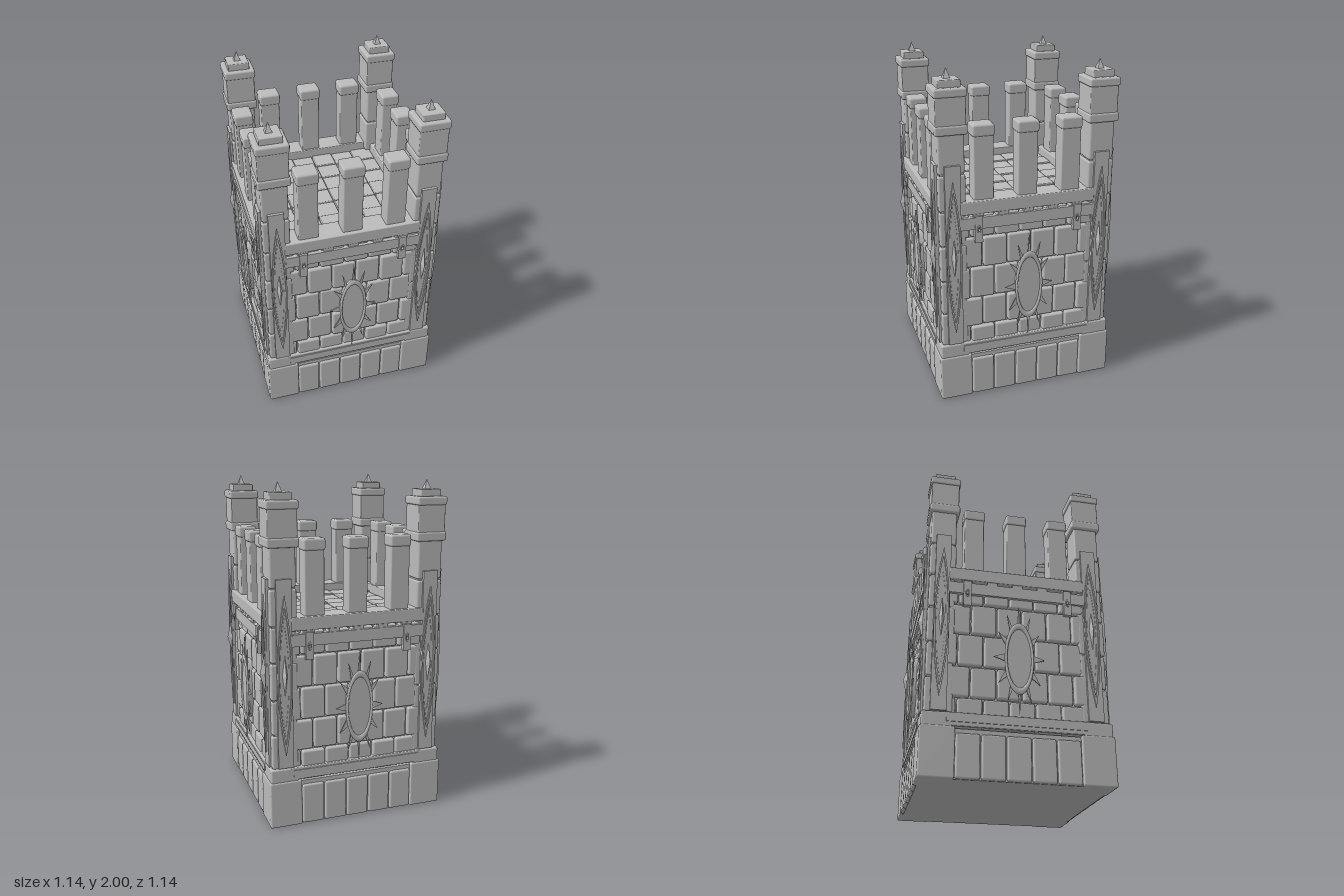
import * as THREE from 'three';
import { RoundedBoxGeometry } from 'three/addons/geometries/RoundedBoxGeometry.js';

const stone = new THREE.MeshStandardMaterial({ color: 0xbcbcbc });
stone.name = 'grey stone';

function add(parent, name, geometry, x = 0, y = 0, z = 0) {
  const mesh = new THREE.Mesh(geometry, stone);
  mesh.name = name;
  mesh.position.set(x, y, z);
  parent.add(mesh);
  return mesh;
}

// Box given by its limits; a bevel above zero rounds the edges
function block(parent, name, [x0, x1], [y0, y1], [z0, z1], bevel = 0) {
  const w = x1 - x0, h = y1 - y0, d = z1 - z0;
  const geometry = bevel ? new RoundedBoxGeometry(w, h, d, 1, bevel) : new THREE.BoxGeometry(w, h, d);
  return add(parent, name, geometry, (x0 + x1) / 2, (y0 + y1) / 2, (z0 + z1) / 2);
}

// Pointed lens outline of half width a and half height b
function lens(a, b, Type = THREE.Shape) {
  const s = new Type();
  s.moveTo(0, -b);
  s.quadraticCurveTo(2 * a, 0, 0, b);
  s.quadraticCurveTo(-2 * a, 0, 0, -b);
  return s;
}

const plate = (shape, depth, curveSegments = 16) =>
  new THREE.ExtrudeGeometry(shape, { depth, bevelEnabled: false, curveSegments });

function pyramid(radius, height) {
  const g = new THREE.ConeGeometry(radius, height, 4).toNonIndexed();
  g.computeVertexNormals();
  return g;
}

// Sun emblem: oval disc, raised rim and a ring of thin rays
function makeSun() {
  const sun = new THREE.Group();
  sun.name = 'sunEmblem';
  const disc = add(sun, 'sunDisc', new THREE.CylinderGeometry(0.075, 0.075, 0.04, 40).rotateX(Math.PI / 2), 0, 0, 0.535);
  disc.scale.y = 2.6;
  const rim = add(sun, 'sunRim', new THREE.TorusGeometry(0.077, 0.008, 8, 40), 0, 0, 0.557);
  rim.scale.y = 2.6;
  const count = 12;
  for (let i = 0; i < count; i++) {
    const a = (i / count) * Math.PI * 2;
    const at = (r, t) => new THREE.Vector2(Math.cos(t) * r, Math.sin(t) * r * 2.25);
    const tip = i % 3 ? 0.138 : 0.147;
    const ray = new THREE.Shape([at(0.078, a - 0.14), at(tip, a), at(0.078, a + 0.14)]);
    add(sun, 'sunRay', plate(ray, 0.008), 0, 0, 0.547);
  }
  sun.position.y = 0.705;
  return sun;
}

// Tall strip with a lens frame and a pointed stud
function makeCornerStrip(x) {
  const strip = new THREE.Group();
  strip.name = 'cornerStrip';
  block(strip, 'stripPlate', [-0.045, 0.045], [0.37, 1.48], [0.51, 0.537]);
  const frame = lens(0.044, 0.47);
  frame.holes.push(lens(0.035, 0.41, THREE.Path));
  add(strip, 'lensFrame', plate(frame, 0.016), 0, 0.92, 0.53);
  const inner = lens(0.03, 0.36);
  inner.holes.push(lens(0.023, 0.3, THREE.Path));
  add(strip, 'innerLensFrame', plate(inner, 0.011), 0, 0.92, 0.53);
  const stud = add(strip, 'diamondStud', pyramid(1, 1).rotateX(Math.PI / 2), 0, 0.93, 0.55);
  stud.scale.set(0.018, 0.14, 0.036);
  strip.position.x = x;
  return strip;
}

// One side of the keep, facing +z
function makeSide() {
  const side = new THREE.Group();
  side.name = 'side';

  // Footing stones
  for (let i = 0; i < 5; i++) {
    const x = -0.35 + i * 0.14;
    block(side, 'footingStone', [x + 0.003, x + 0.137], [0.002, 0.25], [0.42, 0.543], 0.012);
  }
  block(side, 'footingLedge', [-0.35, 0.35], [0.235, 0.275], [0.44, 0.528]);
  block(side, 'lowerRail', [-0.415, 0.415], [0.288, 0.365], [0.45, 0.537], 0.006);
  block(side, 'lowerRailTrim', [-0.4, 0.4], [0.31, 0.35], [0.45, 0.542]);

  // Staggered brick courses
  const courses = [0.275, 0.46, 0.648, 0.845, 1.036, 1.18];
  for (let r = 0; r < 5; r++) {
    const start = r % 2 ? -0.42 : -0.495;
    for (let i = 0; i < 7; i++) {
      const x0 = Math.max(start + i * 0.149, -0.41);
      const x1 = Math.min(start + (i + 1) * 0.149, 0.41);
      if (x1 - x0 < 0.05) continue;
      const face = 0.522 + 0.004 * ((i * 2 + r) % 3 - 1);
      block(side, 'wallBrick', [x0 + 0.004, x1 - 0.004], [courses[r] + 0.004, courses[r + 1] - 0.004], [0.45, face], 0.012);
    }
  }

  // Parapet with its rail and pierced brackets
  block(side, 'parapet', [-0.405, 0.405], [1.185, 1.262], [0.4, 0.54], 0.006);
  block(side, 'upperRail', [-0.4, 0.4], [1.095, 1.165], [0.45, 0.54]);
  for (const x of [-0.3, -0.15, 0, 0.15, 0.3])
    block(side, 'railTab', [x - 0.03, x + 0.03], [1.16, 1.19], [0.45, 0.535]);
  for (const x of [-0.3, 0.3]) {
    const s = new THREE.Shape();
    s.moveTo(-0.023, -0.08).lineTo(0.023, -0.08).lineTo(0.023, 0.08).lineTo(-0.023, 0.08);
    const hole = new THREE.Path();
    hole.absellipse(0, 0, 0.009, 0.02, 0, Math.PI * 2, true);
    s.holes.push(hole);
    add(side, 'bracket', plate(s, 0.025), x, 1.095, 0.522);
    const ring = add(side, 'bracketRing', new THREE.TorusGeometry(0.009, 0.003, 6, 16), x, 1.095, 0.547);
    ring.scale.y = 2.1;
  }

  // Tall merlons
  for (const x of [-0.26, 0, 0.26]) {
    block(side, 'merlon', [x - 0.059, x + 0.059], [1.22, 1.66], [0.415, 0.515], 0.008);
    block(side, 'merlonCap', [x - 0.065, x + 0.065], [1.625, 1.695], [0.408, 0.522], 0.014);
  }

  side.add(makeSun(), makeCornerStrip(-0.445), makeCornerStrip(0.445));
  return side;
}

// Corner tower, centred on its own axis
function makeTower() {
  const tower = new THREE.Group();
  tower.name = 'cornerTower';
  const slab = (name, r, y0, y1, bevel) => block(tower, name, [-r, r], [y0, y1], [-r, r], bevel);
  block(tower, 'towerFooting', [-0.095, 0.1], [0, 0.285], [-0.095, 0.1], 0.01);
  block(tower, 'towerPlinth', [-0.08, 0.092], [0.275, 0.365], [-0.08, 0.092], 0.01);
  const levels = [0.36, 0.57, 0.78, 1.0, 1.21, 1.425, 1.66];
  for (let i = 0; i < 6; i++)
    slab('towerStone', i % 2 ? 0.076 : 0.079, levels[i] + 0.003, levels[i + 1] - 0.003, 0.012);
  slab('towerCore', 0.068, 0.2, 1.7);
  slab('turret', 0.085, 1.66, 1.9, 0.006);
  slab('turretFoot', 0.093, 1.65, 1.705, 0.012);
  slab('turretCrown', 0.093, 1.855, 1.905, 0.012);
  slab('turretCap', 0.064, 1.89, 1.945, 0.006);
  add(tower, 'finial', pyramid(0.029, 0.058).rotateY(Math.PI / 4), 0, 1.971, 0);
  return tower;
}

export function createModel() {
  const model = new THREE.Group();
  model.name = 'castleKeep';

  // Solid core and flat underside
  block(model, 'footingCore', [-0.525, 0.525], [0, 0.24], [-0.525, 0.525]);
  block(model, 'wallCore', [-0.495, 0.495], [0.2, 1.19], [-0.495, 0.495]);

  // Roof paving
  const step = 0.8 / 6;
  for (let i = 0; i < 6; i++) {
    for (let j = 0; j < 6; j++) {
      const x = -0.4 + i * step, z = -0.4 + j * step;
      const top = 1.213 + 0.003 * ((i * 2 + j * 3) % 4 - 1);
      block(model, 'floorTile', [x + 0.002, x + step - 0.002], [1.16, top], [z + 0.002, z + step - 0.002], 0.006);
    }
  }

  for (let k = 0; k < 4; k++) {
    const quarter = new THREE.Group();
    quarter.name = 'quarter';
    const tower = makeTower();
    tower.position.set(0.445, 0, 0.445);
    quarter.add(makeSide(), tower);
    quarter.rotation.y = (k * Math.PI) / 2;
    model.add(quarter);
  }
  return model;
}
